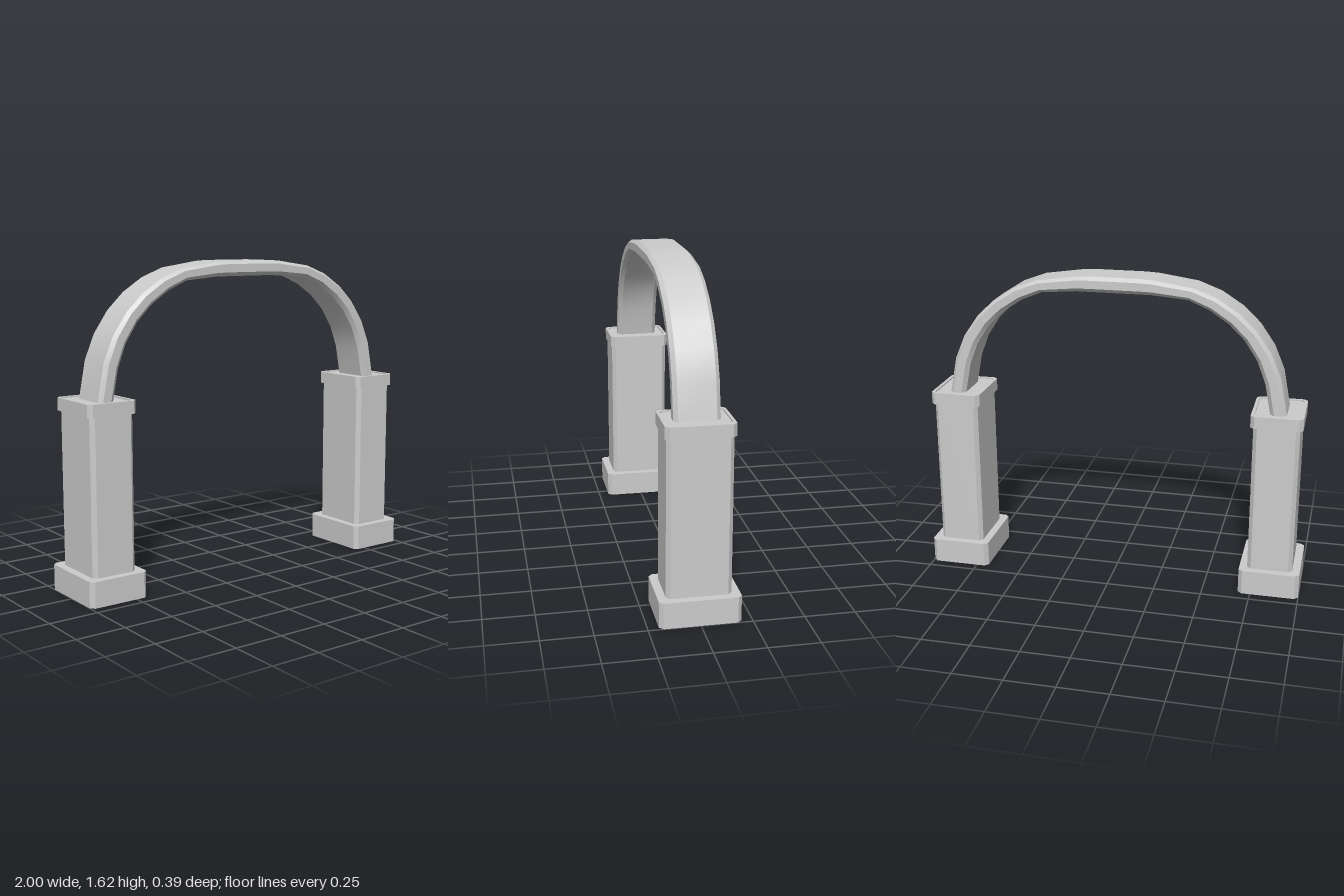
import * as THREE from 'three';

const material = new THREE.MeshStandardMaterial({ color: 0xcccccc });

// Rectangle with cut corners, half sizes hx and hz
function cutRect(Type, hx, hz, c) {
  const p = [
    [hx - c, -hz], [hx, -hz + c], [hx, hz - c], [hx - c, hz],
    [-hx + c, hz], [-hx, hz - c], [-hx, -hz + c], [-hx + c, -hz],
  ];
  return new Type(p.map(([x, y]) => new THREE.Vector2(x, y)));
}

// Upright block with cut vertical corners, optionally hollow
function block(name, hx, hz, y0, y1, hole) {
  const shape = cutRect(THREE.Shape, hx, hz, 0.02);
  if (hole) shape.holes.push(cutRect(THREE.Path, hole[0], hole[1], 0.015));
  const geo = new THREE.ExtrudeGeometry(shape, { depth: y1 - y0, bevelEnabled: false });
  geo.rotateX(-Math.PI / 2).translate(0, y0, 0);
  const mesh = new THREE.Mesh(geo, material);
  mesh.name = name;
  return mesh;
}

function pillar(name, x) {
  const g = new THREE.Group();
  g.name = name;
  g.add(
    block('base', 0.157, 0.197, 0, 0.13),
    block('shaft', 0.117, 0.157, 0.13, 0.963),
    block('capRim', 0.132, 0.165, 0.907, 0.97, [0.115, 0.15]),
  );
  g.position.x = x;
  return g;
}

// Curved band: each side of the eight-sided section is a strip, smooth along its length
function archBand() {
  // outer x, outer y, inner x, inner y from the foot to the crown
  const half = [
    [0.887, 0.96, 0.803, 0.96], [0.85, 1.15, 0.772, 1.12], [0.797, 1.275, 0.728, 1.235],
    [0.72, 1.385, 0.662, 1.335], [0.63, 1.47, 0.58, 1.415], [0.52, 1.54, 0.482, 1.48],
    [0.4, 1.585, 0.375, 1.525], [0.2, 1.614, 0.19, 1.54], [0.13, 1.618, 0.12, 1.54],
  ];
  const stations = [...half, ...half.slice().reverse().map(([a, b, c, d]) => [-a, b, -c, d])];
  // section corners: share of thickness from inner to outer, z
  const section = [
    [1, -0.09], [1, 0.09], [0.78, 0.11], [0.25, 0.11],
    [0, 0.09], [0, -0.09], [0.25, -0.11], [0.78, -0.11],
  ];
  const pos = [], index = [];
  section.forEach((corner, i) => {
    const next = section[(i + 1) % section.length];
    const start = pos.length / 3;
    stations.forEach(([ox, oy, ix, iy], k) => {
      for (const [u, z] of [corner, next]) pos.push(ix + (ox - ix) * u, iy + (oy - iy) * u, z);
      if (k === 0) return;
      const a = start + (k - 1) * 2;
      index.push(a, a + 2, a + 1, a + 1, a + 2, a + 3);
    });
  });
  const geo = new THREE.BufferGeometry();
  geo.setAttribute('position', new THREE.Float32BufferAttribute(pos, 3));
  geo.setIndex(index);
  geo.computeVertexNormals();
  const mesh = new THREE.Mesh(geo, material);
  mesh.name = 'archBand';
  return mesh;
}

export function createModel() {
  const group = new THREE.Group();
  group.name = 'archway';
  group.add(pillar('leftPillar', 0.843), pillar('rightPillar', -0.843), archBand());
  return group;
}
